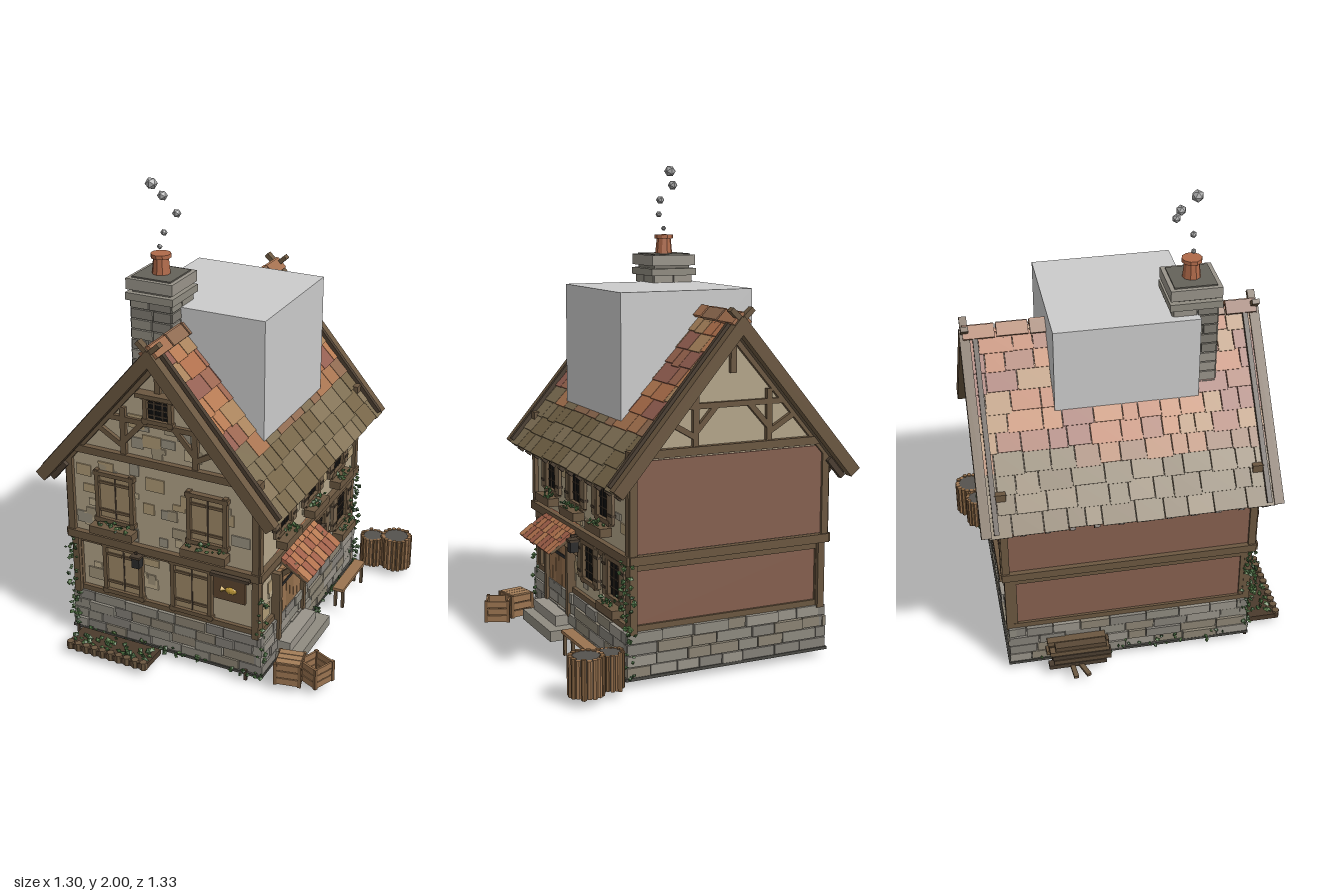
import * as THREE from 'three';

const C = { stucco: 0xb5a68a, timber: 0x6b5740, dark: 0x4a3d30, plank: 0x9a7450, stone: 0x8f8b80, red: 0x86604f,
  black: 0x0d0d0d, leaf: 0x4a7040, iron: 0x2b2b2b, gold: 0xc9a13c, clay: 0xb06a4a };
const CX = -0.065, CZ = -0.025;
let seed = 7;
const rnd = (a = 0, b = 1) => { seed = (seed * 16807) % 2147483647; return a + (b - a) * seed / 2147483647; };
const pick = (list) => list[Math.floor(rnd() * list.length)];
const mats = {};
const mat = (c) => mats[c] ??= new THREE.MeshStandardMaterial({ color: c, flatShading: true });

function add(parent, name, geo, color, x = 0, y = 0, z = 0) {
  const m = new THREE.Mesh(geo, mat(color));
  m.name = name;
  m.position.set(x, y, z);
  parent.add(m);
  return m;
}
const box = (p, name, w, h, d, x, y, z, color) => add(p, name, new THREE.BoxGeometry(w, h, d), color, x, y, z);
function group(parent, name, x = 0, y = 0, z = 0, ry = 0) {
  const g = new THREE.Group();
  g.name = name;
  g.position.set(x, y, z);
  g.rotation.y = ry;
  parent.add(g);
  return g;
}
// beam lying in a wall plane, from one point to another
function beam(p, x1, y1, x2, y2, w = 0.03, z = 0, d = 0.03, color = C.timber) {
  const m = box(p, 'timberBeam', Math.hypot(x2 - x1, y2 - y1), w, d, (x1 + x2) / 2, (y1 + y2) / 2, z, color);
  m.rotation.z = Math.atan2(y2 - y1, x2 - x1);
}
function leaves(p, n, x0, x1, y0, y1, z0, z1, s = 0.013) {
  for (let i = 0; i < n; i++) {
    const m = add(p, 'leaf', new THREE.OctahedronGeometry(s * rnd(0.6, 1.1)), pick([C.leaf, 0x3d5c36, 0x5b7f4a]),
      rnd(x0, x1), rnd(y0, y1), rnd(z0, z1));
    m.scale.y = 0.6;
    m.rotation.set(rnd(0, 3), rnd(0, 3), 0);
  }
}
// window facing +z: panes with bars, or closed shutters
function windowAt(p, x, y, w, h, { closed = false, shutters = false, planter = false } = {}) {
  const g = group(p, 'window', x, y, 0);
  box(g, 'pane', w, h, 0.012, 0, 0, 0, closed ? 0xa08a68 : C.black);
  for (const s of [-1, 1]) {
    box(g, 'frameSide', 0.018, h + 0.03, 0.03, s * w / 2, 0, 0.005, C.timber);
    box(g, 'frameRail', w + 0.03, 0.018, 0.034, 0, s * h / 2, 0.005, C.timber);
    if (shutters) {
      box(g, 'shutter', 0.034, h, 0.014, s * (w / 2 + 0.027), 0, 0.014, 0x77644d);
      for (const t of [-1, 1]) box(g, 'hinge', 0.036, 0.01, 0.02, s * (w / 2 + 0.027), t * h * 0.3, 0.014, C.dark);
    }
    if (closed) for (const t of [-1, 1]) box(g, 'strap', w * 0.42, 0.012, 0.018, s * w / 4, t * h * 0.3, 0.003, C.timber);
  }
  const bars = closed ? [0] : [-1 / 6, 1 / 6];
  for (const b of bars) box(g, 'bar', 0.006, h, 0.018, b * w, 0, 0, C.dark);
  if (!closed) for (const b of [-0.25, 0, 0.25]) box(g, 'bar', w, 0.005, 0.018, 0, b * h, 0, C.dark);
  if (planter) {
    box(g, 'windowBox', w + 0.04, 0.035, 0.05, 0, -h / 2 - 0.035, 0.035, C.timber);
    leaves(g, 14, -w / 2, w / 2, -h / 2 - 0.02, -h / 2 + 0.01, 0.02, 0.06);
  }
}
function patches(p, n, x0, x1, y0, y1) {
  for (let i = 0; i < n; i++)
    box(p, 'plasterPatch', rnd(0.03, 0.09), rnd(0.02, 0.06), 0.006, rnd(x0, x1), rnd(y0, y1), 0,
      pick([0xa3957b, 0xc0b090, 0x9c9482, 0xb09b76]));
}
// tiled roof slope running down along local +x from the ridge
function slope(parent, ry) {
  const turn = group(parent, 'roofSide', CX, 1.405, CZ, ry), g = group(turn, 'roofSlope');
  const L = 0.8, rows = 10, step = L / rows;
  g.rotation.z = -Math.atan2(0.62, 0.525);
  box(g, 'roofDeck', L, 0.022, 1.16, L / 2, -0.022, 0, 0x6a5a45);
  for (let r = 0; r < rows; r++) {
    for (let z = -0.575; z < 0.57;) {
      const w = Math.min(rnd(0.06, 0.14), 0.575 - z);
      const col = r > 6 ? pick([0x7d6e52, 0x857458, 0x766548])
        : r > 5 ? pick([0x7d6e52, 0xa87450, 0x8f6a50]) : pick([0xb67a52, 0xb0704c, 0x9c6650, 0xa9835c, 0x956052]);
      const t = box(g, 'roofTile', step * 1.25, 0.012, w - 0.003, (r + 0.5) * step + rnd(-0.006, 0.006), 0, z + w / 2, col);
      t.rotation.z = 0.07;
      z += w;
    }
  }
  for (const s of [-1, 1]) {
    box(g, 'vergeBoard', L + 0.02, 0.05, 0.04, L / 2, -0.01, s * 0.585, C.timber);
    box(g, 'vergeBatten', L, 0.018, 0.02, L / 2, 0.015, s * 0.545, C.dark);
  }
  for (let i = 0; i < 12; i++) box(g, 'rafterTail', 0.1, 0.025, 0.022, L - 0.035, -0.043, -0.54 + i * 0.098, C.dark);
}

export function createModel() {
  seed = 7;
  const house = new THREE.Group();
  house.name = 'cottage';

  // stone base with blocks
  box(house, 'foundation', 0.87, 0.17, 1.0, CX, 0.115, CZ, C.stone);
  box(house, 'groundSlab', 0.9, 0.012, 1.04, CX, 0.034, CZ, 0x4a4944);
  for (let r = 0; r < 4; r++) for (let f = 0; f < 4; f++) {
    const len = f % 2 ? 1.03 : 0.89, off = f % 2 ? 0.445 : 0.515;
    const side = group(house, 'stoneCourse', CX, 0.058 + r * 0.046, CZ, f * Math.PI / 2);
    for (let x = -len / 2; x < len / 2 - 0.01;) {
      const w = Math.min(rnd(0.07, 0.16), len / 2 - x);
      box(side, 'stoneBlock', w - 0.004, 0.042, 0.03, x + w / 2, 0, off - 0.015 + rnd(-0.005, 0.005),
        pick([0x8f8b80, 0x99948a, 0x858179, 0x8c8474]));
      x += w;
    }
  }

  // walls
  box(house, 'lowerWall', 0.83, 0.3, 0.97, CX, 0.36, CZ, C.stucco);
  const sh = new THREE.Shape([[-0.425, 0.5], [0.425, 0.5], [0.425, 0.85], [0, 1.35], [-0.425, 0.85]]
    .map((a) => new THREE.Vector2(...a)));
  add(house, 'upperWall', new THREE.ExtrudeGeometry(sh, { depth: 1.03, bevelEnabled: false }), C.stucco, CX, 0, CZ - 0.515);

  // each facade is drawn facing +z: [angle, half width, lower plane, upper plane]
  const face = (ry, hw, lo, up) => {
    const low = group(house, 'lowerFacade', CX, 0, CZ, ry), top = group(house, 'upperFacade', CX, 0, CZ, ry);
    const l = group(low, 'lowerTimber', 0, 0, lo), u = group(top, 'upperTimber', 0, 0, up);
    for (const y of [0.225, 0.47]) beam(l, -hw, y, hw, y, 0.03);
    beam(u, -hw - 0.015, 0.505, hw + 0.015, 0.505, 0.035, 0, 0.045);
    for (const s of [-1, 1]) {
      beam(l, s * (hw - 0.01), 0.21, s * (hw - 0.01), 0.5, 0.03);
      beam(u, s * (hw - 0.003), 0.5, s * (hw - 0.003), 0.88, 0.03);
    }
    return [l, u];
  };
  const gable = (u) => {
    beam(u, -0.44, 0.91, 0.44, 0.91, 0.032, 0, 0.045);
    beam(u, -0.22, 1.08, 0.22, 1.08, 0.022);
    beam(u, 0, 1.2, 0, 1.36, 0.025);
    for (const s of [-1, 1]) {
      beam(u, s * 0.43, 0.85, 0, 1.345, 0.03);
      beam(u, s * 0.16, 0.92, s * 0.16, 1.13, 0.024);
      beam(u, s * 0.16, 0.96, s * 0.28, 1.03, 0.022);
      beam(u, s * 0.16, 0.98, s * 0.07, 1.08, 0.022);
    }
  };
  const [fl, fu] = face(0, 0.425, 0.487, 0.517);
  const [rl, ru] = face(Math.PI / 2, 0.515, 0.417, 0.427);
  const [bl, bu] = face(Math.PI, 0.425, 0.487, 0.517);
  const [ll, lu] = face(-Math.PI / 2, 0.515, 0.417, 0.427);
  gable(fu);
  gable(bu);
  for (const [l, u, w] of [[bl, bu, 0.82], [ll, lu, 1.0]]) {
    box(l, 'lowerPanel', w, 0.22, 0.008, 0, 0.35, 0, C.red);
    box(u, 'upperPanel', w, 0.36, 0.008, 0, 0.705, 0, C.red);
  }

  // front
  patches(fl, 22, -0.37, 0.37, 0.26, 0.44);
  patches(fu, 34, -0.37, 0.37, 0.55, 0.86);
  patches(fu, 10, -0.2, 0.2, 0.95, 1.08);
  for (const x of [-0.21, 0.21]) windowAt(fu, x, 0.71, 0.16, 0.21, { closed: true, planter: true });
  for (const x of [-0.2, 0.12]) windowAt(fl, x, 0.355, 0.17, 0.22, { closed: true });
  windowAt(fu, 0, 1.145, 0.11, 0.1);
  box(fu, 'windowHood', 0.17, 0.018, 0.05, 0, 1.21, 0.02, C.timber);
  const lantern = (p, x, y, z) => {
    box(p, 'lanternBody', 0.035, 0.045, 0.035, x, y, z, C.iron);
    box(p, 'lanternCap', 0.045, 0.01, 0.045, x, y + 0.027, z, C.dark);
    box(p, 'lanternArm', 0.01, 0.01, 0.07, x, y + 0.045, z - 0.025, C.dark);
  };
  lantern(fl, -0.11, 0.445, 0.05);
  lantern(rl, 0.02, 0.445, 0.05);
  const sign = group(house, 'hangingSign', 0.26, 0.445, 0.535);
  box(sign, 'signBoard', 0.14, 0.1, 0.014, 0, 0, 0, 0x5e4630);
  box(sign, 'signRail', 0.17, 0.014, 0.02, 0, 0.056, 0, C.dark);
  add(sign, 'signFish', new THREE.SphereGeometry(0.022, 8, 6), C.gold, 0.008, 0, 0.008).scale.set(1.2, 0.7, 0.4);
  add(sign, 'signFishTail', new THREE.ConeGeometry(0.015, 0.02, 4), C.gold, -0.024, 0, 0.008).rotation.z = -Math.PI / 2;

  // right side: windows, door, canopy (local x runs toward the back)
  patches(rl, 20, -0.45, 0.45, 0.26, 0.44);
  patches(ru, 24, -0.47, 0.47, 0.55, 0.8);
  for (const z of [0.265, -0.02, -0.305]) windowAt(ru, CZ - z, 0.7, 0.12, 0.17, { shutters: true, planter: true });
  for (const z of [-0.13, -0.39]) windowAt(rl, CZ - z, 0.39, 0.125, 0.16, { shutters: true, planter: z < -0.3 });
  const door = group(rl, 'door', -0.22, 0.275, 0.012);
  for (let i = 0; i < 6; i++) box(door, 'doorPlank', 0.036, 0.3, 0.018, (i - 2.5) * 0.038, 0, 0, pick([C.plank, 0x8d6a48, 0xa37d58]));
  for (const s of [-1, 1]) box(door, 'doorPost', 0.025, 0.32, 0.04, s * 0.127, 0, 0.005, C.timber);
  for (const y of [-0.08, 0.08]) box(door, 'doorStrap', 0.2, 0.014, 0.024, 0, y, 0, C.iron);
  const canopy = group(rl, 'doorCanopy', -0.17, 0.52, 0);
  canopy.rotation.x = 0.55;
  box(canopy, 'canopyDeck', 0.34, 0.012, 0.17, 0, -0.012, 0.085, C.timber);
  for (let r = 0; r < 3; r++) for (let i = 0; i < 8; i++)
    box(canopy, 'canopyTile', 0.04, 0.012, 0.068, (i - 3.5) * 0.043, 0, 0.03 + r * 0.057 + rnd(0, 0.006), pick([0xb67a52, 0xb0704c, 0xa05f48])).rotation.x = 0.08;
  for (const s of [-1, 1]) box(rl, 'canopyBracket', 0.02, 0.02, 0.12, -0.17 + s * 0.14, 0.43, 0.045, C.timber).rotation.x = -0.75;
  box(house, 'lowerStep', 0.11, 0.045, 0.34, 0.43, 0.053, 0.18, C.stone);
  box(house, 'upperStep', 0.06, 0.09, 0.27, 0.41, 0.075, 0.2, 0x99948a);

  // roof and ridge
  slope(house, 0);
  slope(house, Math.PI);
  for (let i = 0; i < 9; i++) for (const s of [-1, 1])
    box(house, 'ridgeTile', 0.055, 0.014, 0.125, CX + s * 0.018, 1.413 + rnd(0, 0.006), CZ - 0.53 + i * 0.1325,
      pick([0x8f6a50, 0xa3704f, 0x84583f])).rotation.z = -s * 0.8;
  for (const z of [-0.61, 0.56]) for (const s of [-1, 1])
    box(house, 'ridgeCross', 0.1, 0.02, 0.03, CX + s * 0.01, 1.415, z, C.timber).rotation.z = s * 0.75;
  box(house, 'roofBlock', 0.58, 0.58, 0.58, 0, 1.21, 0, 0xcccccc);

  // chimney, pot and smoke
  const ch = group(house, 'chimney', -0.163, 0, 0.275);
  box(ch, 'chimneyShaft', 0.165, 0.5, 0.165, 0, 1.33, 0, 0x77736a);
  for (let r = 0; r < 10; r++) for (let f = 0; f < 4; f++) {
    const side = group(ch, 'chimneyCourse', 0, 1.13 + r * 0.043, 0, f * Math.PI / 2), cut = rnd(-0.04, 0.04);
    for (const [a, b] of [[-0.09, cut], [cut, 0.09]])
      box(side, 'chimneyStone', b - a - 0.005, 0.038, 0.018, (a + b) / 2, 0, 0.084, pick([0x8f8b80, 0x7f7b72, 0x99948a]));
  }
  box(ch, 'chimneyCollar', 0.21, 0.03, 0.21, 0, 1.545, 0, C.stone);
  box(ch, 'chimneyCap', 0.205, 0.045, 0.205, 0, 1.595, 0, 0x99948a);
  box(ch, 'chimneyTop', 0.17, 0.006, 0.17, 0, 1.62, 0, 0x65625a);
  add(ch, 'chimneyPot', new THREE.CylinderGeometry(0.03, 0.038, 0.08, 10), C.clay, 0, 1.655, 0);
  add(ch, 'potRim', new THREE.CylinderGeometry(0.041, 0.041, 0.016, 10), C.clay, 0, 1.695, 0);
  for (const [x, y, z, r] of [[-0.165, 1.73, 0.28, 0.011], [-0.143, 1.79, 0.283, 0.014], [-0.12, 1.852, 0.22, 0.018],
    [-0.18, 1.915, 0.222, 0.021], [-0.195, 1.975, 0.28, 0.025]])
    add(house, 'smokePuff', new THREE.IcosahedronGeometry(r), 0xa8a8a8, x, y, z);

  // stave tubs behind the right corner
  for (const [x, z, r, h] of [[0.57, -0.595, 0.062, 0.155], [0.465, -0.57, 0.05, 0.145]]) {
    const tub = group(house, 'staveTub', x, 0.03, z);
    add(tub, 'tubCore', new THREE.CylinderGeometry(r, r, h - 0.01, 16), 0x55524e, 0, h / 2, 0);
    for (let i = 0; i < 18; i++) {
      const a = i * Math.PI / 9;
      add(tub, 'stave', new THREE.CylinderGeometry(r * 0.17, r * 0.17, h + rnd(-0.01, 0.008), 6), pick([C.plank, 0x80603f]),
        r * Math.cos(a), h / 2, r * Math.sin(a));
    }
  }
  // slatted crates
  const crate = (x, z, s, ry, lid) => {
    const g = group(house, 'crate', x, 0.03, z, ry);
    if (lid) box(g, 'crateCore', s * 0.9, s * 0.9, s * 0.9, 0, s / 2, 0, C.dark);
    for (let f = 0; f < 4; f++) {
      const side = group(g, 'crateSide', 0, 0, 0, f * Math.PI / 2);
      for (let i = 0; i < 3; i++) box(side, 'slat', s, s * 0.29, 0.008, 0, s * (0.17 + i * 0.33), s / 2, C.plank);
      box(side, 'cratePost', 0.014, s, 0.014, s / 2, s / 2, s / 2, 0x7b5b3d);
    }
    if (lid) for (let i = -1; i < 2; i++) box(g, 'lidSlat', s, 0.008, s * 0.3, 0, s, i * s * 0.33, 0xa37d58);
    else box(g, 'crateFloor', s, 0.008, s, 0, 0.006, 0, C.plank);
  };
  crate(0.485, 0.44, 0.1, 0.2, true);
  crate(0.582, 0.4, 0.095, -0.42, false);
  // bench
  box(house, 'benchSeat', 0.05, 0.014, 0.27, 0.465, 0.12, -0.265, C.plank);
  for (const z of [-0.38, -0.15]) for (const x of [0.448, 0.482]) box(house, 'benchLeg', 0.012, 0.09, 0.014, x, 0.07, z, C.timber);
  // plank pile on the left
  for (let r = 0; r < 5; r++) for (let i = 0; i < 2; i++)
    box(house, 'pilePlank', 0.034, 0.02, rnd(0.2, 0.27), -0.528 - i * 0.038, 0.045 + r * 0.024, -0.25 + rnd(-0.015, 0.015), pick([C.dark, C.timber, 0x5a4936]));
  for (const [z, a] of [[-0.285, 0.08], [-0.25, 0.35]]) box(house, 'loosePlank', 0.15, 0.012, 0.02, -0.575, 0.038, z, C.timber).rotation.y = a;
  // vegetable bed
  box(house, 'soilBed', 0.38, 0.025, 0.13, -0.26, 0.04, 0.585, 0x4b3b2c);
  for (let i = 0; i < 10; i++) add(house, 'bedStake', new THREE.CylinderGeometry(0.016, 0.016, 0.035, 7), C.timber, -0.435 + i * 0.039, 0.045, 0.643);
  leaves(house, 40, -0.44, -0.08, 0.05, 0.075, 0.56, 0.63, 0.017);
  // ivy and weeds
  leaves(house, 70, -0.52, -0.47, 0.03, 0.5, 0.46, 0.52);
  leaves(house, 70, 0.36, 0.4, 0.03, 0.5, -0.58, -0.48);
  leaves(house, 25, 0.36, 0.39, 0.03, 0.4, 0.45, 0.51);
  leaves(house, 45, -0.5, 0.37, 0.03, 0.06, 0.49, 0.52);
  leaves(house, 30, -0.53, -0.51, 0.03, 0.08, -0.5, 0.5);
  leaves(house, 25, 0.39, 0.41, 0.03, 0.07, -0.5, 0);
  for (const x of [-0.49, 0.31]) box(house, 'groundStake', 0.012, 0.05, 0.012, x, 0.025, 0.49, C.dark);
  return house;
}
